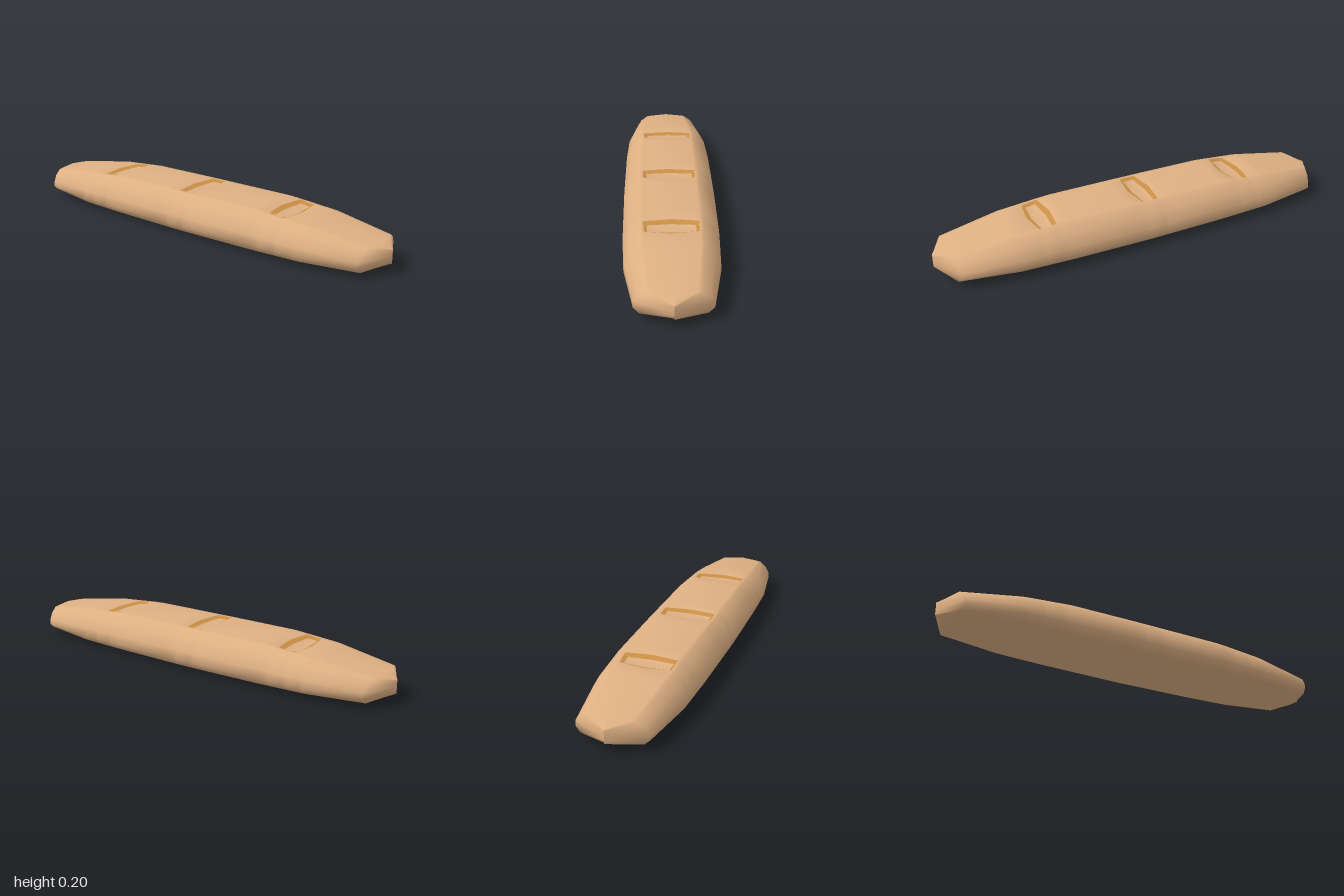
import * as THREE from 'three';

// Half cross-section from top centre to bottom centre: [z / halfWidth, y as share of height]
const HALF = [[0, 1], [0.5, 0.951], [0.57, 0.944], [0.65, 0.936], [0.865, 0.75],
  [0.99, 0.49], [1, 0.27], [0.85, 0.09], [0, 0]];
const N = 16;

// Loaf outline along its length: [|x|, halfWidth, top, bottom]
const OUTLINE = [[0, 0.22, 0.205, 0], [0.4, 0.217, 0.205, 0.003], [0.65, 0.207, 0.186, 0.008],
  [0.92, 0.163, 0.142, 0.022], [1, 0, 0.115, 0.05]];
const CUTS = [-0.527, -0.02, 0.495];
const RIM = 0.057, FLOOR = 0.034;

function outlineAt(x) {
  const a = Math.min(Math.abs(x), 1);
  let i = 0;
  while (i < OUTLINE.length - 2 && a > OUTLINE[i + 1][0]) i++;
  const p = OUTLINE[i], q = OUTLINE[i + 1], t = (a - p[0]) / (q[0] - p[0]);
  return [1, 2, 3].map(k => p[k] + (q[k] - p[k]) * t);
}

export function createModel() {
  // Stations along the loaf; each cut adds its own set
  const stations = [-1, -0.92, -0.66].map(x => ({ x, off: null }));
  for (const c of CUTS) {
    for (const off of [-0.11, -RIM, -FLOOR, FLOOR, RIM, 0.11]) stations.push({ x: c + off, c, off });
  }
  for (const x of [0.65, 0.92, 1]) stations.push({ x, off: null });

  const positions = [];
  for (const s of stations) {
    const [w, top, bottom] = outlineAt(s.x);
    for (let j = 0; j < N; j++) {
      const k = Math.min(j, N - j);
      const z = HALF[k][0] * w * (j > N / 2 ? -1 : 1);
      let x = s.x, y = bottom + HALF[k][1] * (top - bottom);
      // the second-last stations bulge outwards towards the tip
      if (Math.abs(s.x) === 0.92) x += Math.sign(x) * 0.028 * (1 - HALF[k][0] ** 2);
      // sink the cut and narrow it towards its ends
      if (s.off !== null && Math.abs(s.off) <= RIM && k <= 2) {
        x = s.c + s.off * [1, 0.74, 0.68][k];
        const rimY = top * 0.94;
        y = Math.abs(s.off) === FLOOR && k <= 1 ? rimY - 0.011 : Math.min(y, rimY);
      }
      positions.push(x, y, z);
    }
  }

  // Faces are sorted into crust and the coloured walls of the cuts
  const crust = [], walls = [];
  for (let i = 0; i < stations.length - 1; i++) {
    const a = stations[i].off, b = stations[i + 1].off;
    const inCut = a !== null && b !== null && Math.abs(a) <= RIM && Math.abs(b) <= RIM;
    const floorSpan = inCut && a === -FLOOR;
    for (let j = 0; j < N; j++) {
      const j2 = (j + 1) % N;
      const k = Math.max(Math.min(j, N - j), Math.min(j2, N - j2));
      const isWall = inCut && k <= 2 && !(floorSpan && k === 1);
      const p = i * N + j, q = i * N + j2, r = p + N, t = q + N;
      (isWall ? walls : crust).push(p, q, r, q, t, r);
    }
  }

  // Shared smooth normals across both parts
  const full = new THREE.BufferGeometry();
  full.setAttribute('position', new THREE.Float32BufferAttribute(positions, 3));
  full.setIndex([...crust, ...walls]);
  full.computeVertexNormals();

  const group = new THREE.Group();
  group.name = 'breadLoaf';
  const addPart = (name, index, color) => {
    const geo = new THREE.BufferGeometry();
    geo.setAttribute('position', full.getAttribute('position').clone());
    geo.setAttribute('normal', full.getAttribute('normal').clone());
    geo.setIndex(index);
    const mesh = new THREE.Mesh(geo, new THREE.MeshStandardMaterial({ color }));
    mesh.name = name;
    group.add(mesh);
  };
  addPart('crust', crust, 0xdeb083);
  addPart('cutEdges', walls, 0xc98f45);
  return group;
}
